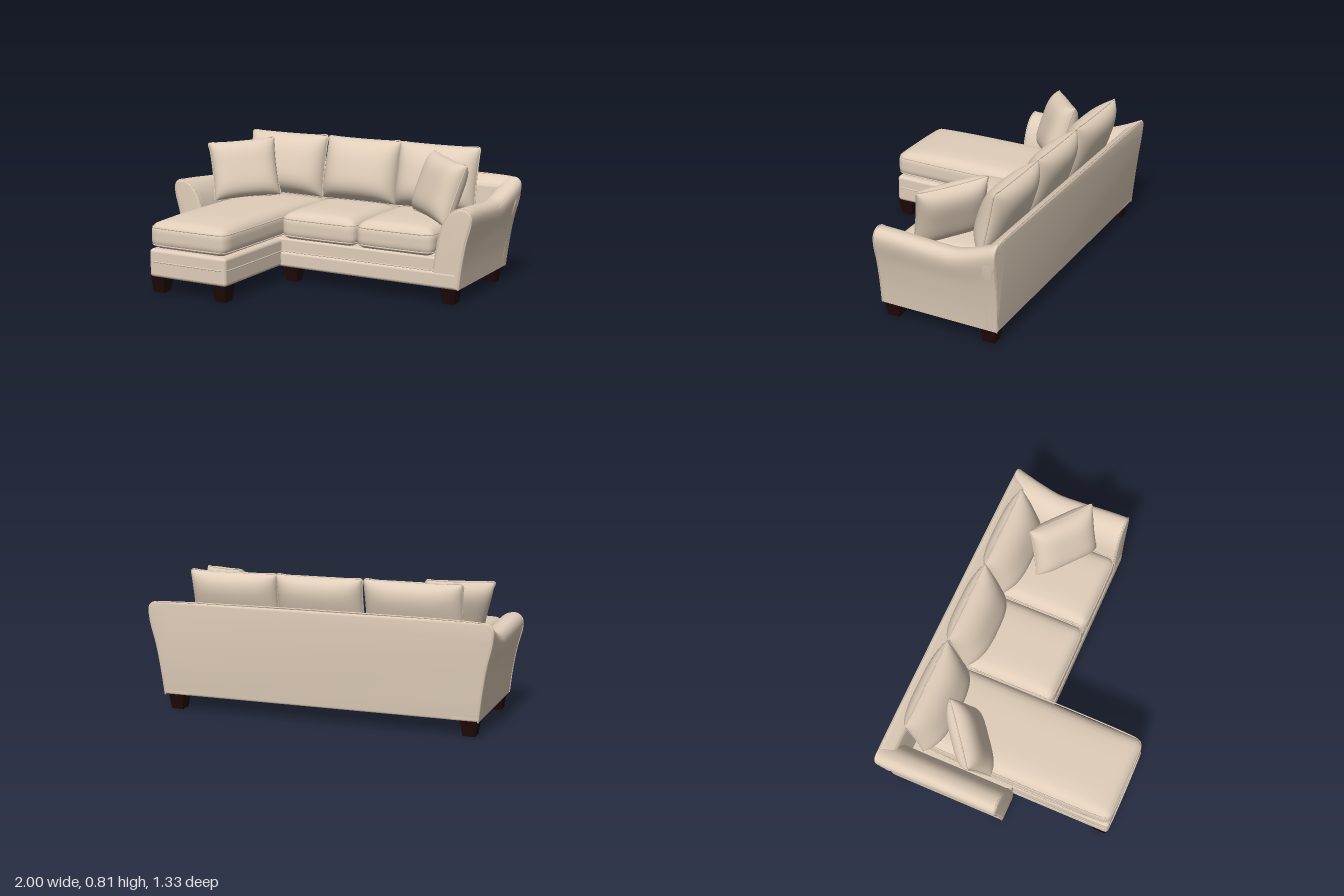
import * as THREE from 'three';
import { toCreasedNormals } from 'three/addons/utils/BufferGeometryUtils.js';
import { RoundedBoxGeometry } from 'three/addons/geometries/RoundedBoxGeometry.js';

const V = (x, y, z) => new THREE.Vector3(x, y, z);
const mat = (name, color) => new THREE.MeshStandardMaterial({ name, color });

export function createModel() {
  const fabric = mat('beige fabric', 0xe0ceba);
  const wood = mat('dark wood', 0x1f0707);
  const sofa = new THREE.Group();
  sofa.name = 'sectionalSofa';

  function add(name, geo, material = fabric, parent = sofa) {
    const m = new THREE.Mesh(geo, material);
    m.name = name;
    parent.add(m);
    return m;
  }
  function warp(geo, rule) {
    const p = geo.attributes.position, v = V();
    for (let i = 0; i < p.count; i++) {
      rule(v.fromBufferAttribute(p, i));
      p.setXYZ(i, v.x, v.y, v.z);
    }
    geo.computeVertexNormals();
    return geo;
  }
  // fabric-covered cord along a seam
  function piping(name, pts, closed = false, parent = sofa) {
    const curve = new THREE.CatmullRomCurve3(pts, closed, 'centripetal');
    add(name, new THREE.TubeGeometry(curve, pts.length * 6, 0.004, 6, closed), fabric, parent);
  }
  // rounded rectangle of points at height y
  function ring(x0, x1, z0, z1, y, r) {
    const pts = [];
    [[x1 - r, z1 - r], [x0 + r, z1 - r], [x0 + r, z0 + r], [x1 - r, z0 + r]].forEach(([cx, cz], q) => {
      for (let i = 0; i <= 3; i++) {
        const a = (q + i / 3) * Math.PI / 2;
        pts.push(V(cx + r * Math.cos(a), y, cz + r * Math.sin(a)));
      }
    });
    return pts;
  }
  function block(name, x0, x1, y0, y1, z0, z1, r) {
    const g = new RoundedBoxGeometry(x1 - x0, y1 - y0, z1 - z0, 4, r);
    add(name, g.translate((x0 + x1) / 2, (y0 + y1) / 2, (z0 + z1) / 2));
  }

  // bases under the seats and the chaise, with a rail across the front
  block('seatBase', -0.78, 0.78, 0.09, 0.262, -0.62, 0.062, 0.012);
  block('frontRail', -0.235, 0.912, 0.09, 0.185, -0.02, 0.071, 0.018);
  block('chaiseBase', -0.75, -0.225, 0.092, 0.258, -0.3, 0.66, 0.02);
  piping('seatBasePiping', [V(-0.22, 0.186, 0.062), V(0.3, 0.186, 0.062), V(0.78, 0.186, 0.062)]);
  piping('chaiseBasePiping', ring(-0.75, -0.225, -0.3, 0.66, 0.185, 0.02), true);

  // boxed seat cushions with a crowned top
  function seatCushion(name, x0, x1, z0, z1) {
    const cx = (x0 + x1) / 2, cz = (z0 + z1) / 2, w = (x1 - x0) / 2, d = (z1 - z0) / 2;
    const g = new THREE.BoxGeometry(2 * w, 0.15, 2 * d, 20, 10, 28);
    const r = 0.05, core = V();
    warp(g, v => {
      core.set(
        THREE.MathUtils.clamp(v.x, r - w, w - r),
        THREE.MathUtils.clamp(v.y, r - 0.075, 0.075 - r),
        THREE.MathUtils.clamp(v.z, r - d, d - r));
      v.sub(core);
      if (v.lengthSq() > 0) v.setLength(r);
      v.add(core);
      const u = v.x / w, t = v.z / d;
      if (v.y > 0) v.y += 0.028 * (1 - u ** 4) * (1 - t ** 4) * v.y / 0.075;
      v.add(core.set(cx, 0.335, cz));
    });
    add(name, toCreasedNormals(g, 1.2));
    for (const y of [0.283, 0.385])
      piping(name + 'Piping', ring(x0 + 0.006, x1 - 0.006, z0 + 0.006, z1 - 0.006, y, 0.045), true);
  }
  seatCushion('chaiseCushion', -0.748, -0.226, -0.5, 0.665);
  seatCushion('middleSeatCushion', -0.222, 0.272, -0.5, 0.08);
  seatCushion('leftSeatCushion', 0.276, 0.762, -0.5, 0.08);

  // flared arms, rising towards the back
  const outline = [[0.92, 0.09], [0.935, 0.22], [0.96, 0.36], [0.988, 0.47], [0.985, 0.525], [0.95, 0.552],
    [0.89, 0.54], [0.84, 0.49], [0.805, 0.41], [0.78, 0.28], [0.765, 0.185], [0.76, 0.09]];
  const front = 0.068, back = -0.645;
  function bend(v) {
    const k = THREE.MathUtils.smoothstep(v.y, 0.25, 0.53);
    const rise = THREE.MathUtils.clamp((-0.38 - v.z) / 0.27, 0, 1);
    const dip = THREE.MathUtils.smoothstep(-v.z, -0.07, 0.38);
    v.y += k * (0.105 * rise ** 1.4 - 0.024 * dip);
    v.x *= 1 + 0.01 * k * rise - 0.01 * k * dip * (1 - rise);
    v.z -= 0.02 * k * rise;
    return v;
  }
  const armCurve = new THREE.SplineCurve(outline.map(p => new THREE.Vector2(...p)));
  const armShape = new THREE.Shape(armCurve.getPoints(50));
  function arm(name, side) {
    const geo = new THREE.ExtrudeGeometry(armShape, {
      depth: front - back - 0.024, steps: 28, bevelEnabled: true,
      bevelSize: 0.012, bevelOffset: -0.012, bevelThickness: 0.012, bevelSegments: 3 });
    geo.translate(0, 0, back + 0.012);
    warp(geo, v => { bend(v).x *= side; });
    if (side < 0) {
      // restore the outward face order after mirroring
      const p = geo.attributes.position, a = V(), b = V();
      for (let i = 0; i < p.count; i += 3) {
        a.fromBufferAttribute(p, i + 1);
        b.fromBufferAttribute(p, i + 2);
        p.setXYZ(i + 1, b.x, b.y, b.z);
        p.setXYZ(i + 2, a.x, a.y, a.z);
      }
    }
    geo.deleteAttribute('uv');
    add(name, toCreasedNormals(geo, 0.7));
    piping(name + 'Piping', outline.slice(0, -1).map(([x, y]) => {
      const v = bend(V(x, y, front - 0.008));
      v.x *= side;
      return v;
    }));
  }
  arm('leftArm', 1);
  arm('rightArm', -1);

  // leaning back panel, its top sloping down towards the seat
  const half = [[0.92, 0.09], [0.935, 0.22], [0.96, 0.38], [0.993, 0.52], [0.992, 0.585], [0.95, 0.622], [0.88, 0.63]];
  const backPts = [...half, ...half.map(([x, y]) => [-x, y]).reverse()];
  const lean = v => {
    v.y -= 0.7 * Math.max(0, v.z + 0.635) * THREE.MathUtils.smoothstep(v.y, 0.35, 0.58);
    v.z -= 0.022 * (v.y - 0.09) / 0.54;
    return v;
  };
  const backGeo = new THREE.ExtrudeGeometry(new THREE.Shape(backPts.map(p => new THREE.Vector2(...p))), {
    depth: 0.06, steps: 3, bevelEnabled: true, bevelSize: 0.014, bevelOffset: -0.014, bevelThickness: 0.012, bevelSegments: 3 });
  backGeo.translate(0, 0, -0.632);
  add('backPanel', toCreasedNormals(warp(backGeo, lean), 0.7));
  piping('backPiping', backPts.map(([x, y]) => lean(V(x * 0.995, y - 0.003, -0.638))));

  // stuffed pillow: two bulging sheets joined at a piped seam
  function pillow(name, w, h, bulgeFront, bulgeBack, sag, pinch, power) {
    const g = new THREE.Group();
    g.name = name;
    const place = (u, v) => V(
      u * w / 2 * (1 - pinch * (1 - v * v)), v * h / 2 * (1 - pinch * (1 - u * u)), 0);
    for (const [label, bulge] of [['Front', bulgeFront], ['Back', -bulgeBack]]) {
      const sheet = new THREE.PlaneGeometry(2, 2, 24, 24);
      if (bulge < 0) sheet.rotateY(Math.PI);
      warp(sheet, p => {
        const u = Math.sin(p.x * Math.PI / 2), v = Math.sin(p.y * Math.PI / 2);
        const t = Math.max(0, (1 - Math.abs(u) ** power) * (1 - Math.abs(v) ** power));
        p.copy(place(u, v));
        p.z = (bulge - sag * v) * Math.sqrt(t);
      });
      add(name + label, sheet, fabric, g);
    }
    const seam = [];
    for (let q = 0; q < 4; q++)
      for (let i = 0; i < 8; i++) {
        const s = -0.98 + i * 0.245;
        seam.push([place(s, -1), place(1, s), place(-s, 1), place(-1, -s)][q]);
      }
    piping(name + 'Piping', seam, true, g);
    g.rotation.order = 'YXZ';
    sofa.add(g);
    return g;
  }

  // back cushions
  [['right', -0.522, 0.55], ['middle', 0.013, 0.5], ['left', 0.52, 0.52]].forEach(([side, x, w]) => {
    const c = pillow(side + 'BackCushion', w, 0.385, 0.125, 0.07, 0.025, 0.02, 3);
    c.position.set(x, 0.61, -0.505);
    c.rotation.x = -0.2;
  });

  // throw pillows turned in towards the middle
  for (const s of [-1, 1]) {
    const p = pillow(s < 0 ? 'rightThrowPillow' : 'leftThrowPillow', 0.41, 0.365, 0.08, 0.08, 0, 0.04, 4);
    p.position.set(s * 0.665, 0.6, -0.225);
    p.rotation.set(-0.33, -s * 0.64, -s * 0.08);
  }

  // tapered square legs
  const legGeo = new THREE.CylinderGeometry(0.068, 0.049, 0.095, 4, 1).rotateY(Math.PI / 4).toNonIndexed();
  legGeo.computeVertexNormals();
  [[-0.86, 0.01], [0.855, 0.01], [-0.17, 0], [-0.86, -0.575], [0.855, -0.575], [-0.7, 0.605], [-0.275, 0.605]]
    .forEach(([x, z]) => add('leg', legGeo, wood).position.set(x, 0.0475, z));

  return sofa;
}
